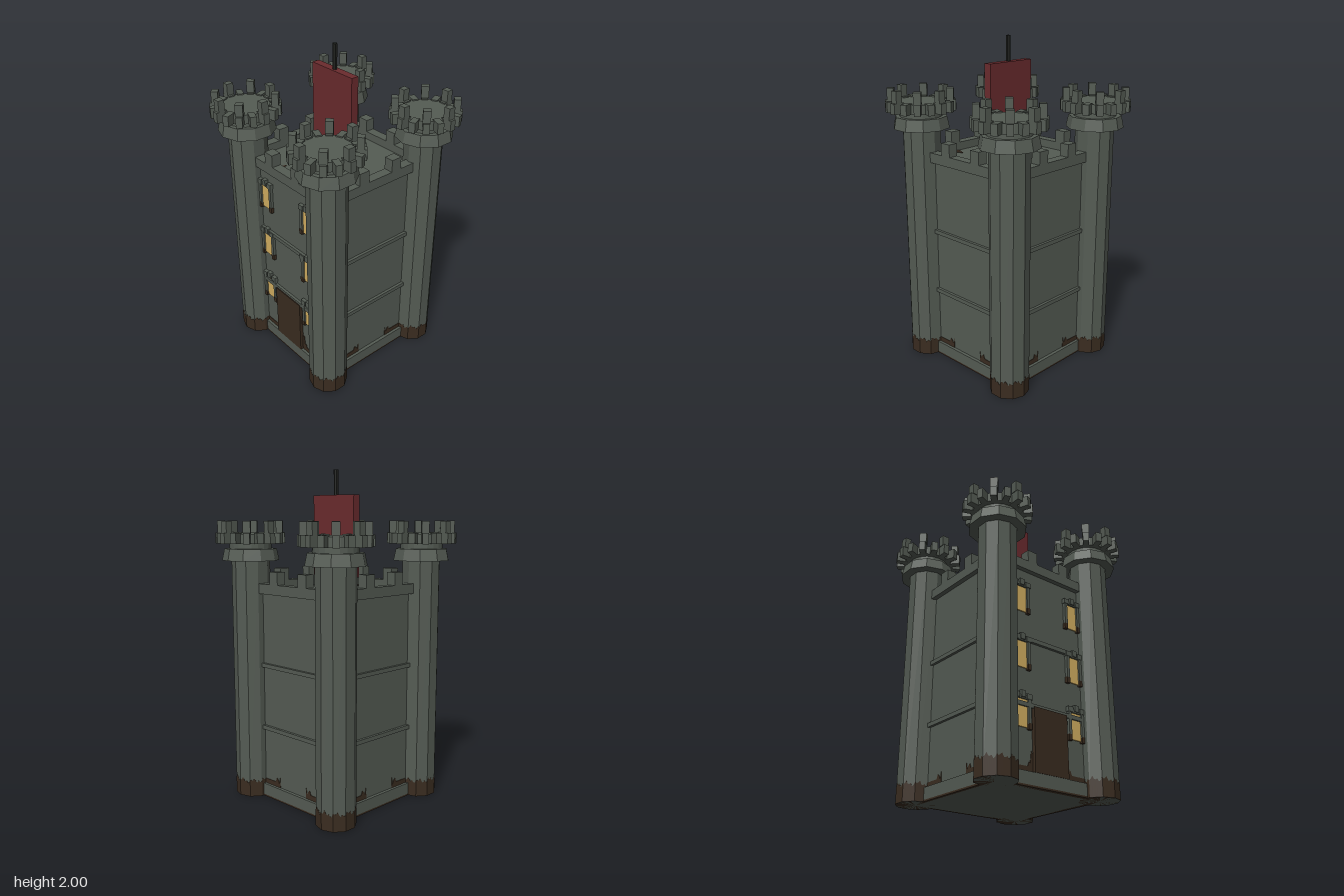
import * as THREE from 'three';

const mat = (name, color) => {
  const m = new THREE.MeshStandardMaterial({ color });
  m.name = name;
  return m;
};

export function createModel() {
  const stone = mat('stone', 0x555c54);
  const mud = mat('mud brown', 0x3a2c20);
  const glow = mat('window yellow', 0xd4b062);
  const red = mat('banner red', 0x6b2b2e);
  const iron = mat('dark iron', 0x1e201d);
  for (const m of [stone, mud, glow, red, iron]) m.flatShading = true;

  const keep = new THREE.Group();
  keep.name = 'keep';

  const add = (parent, name, geo, material, x = 0, y = 0, z = 0) => {
    const mesh = new THREE.Mesh(geo, material);
    mesh.name = name;
    mesh.position.set(x, y, z);
    parent.add(mesh);
    return mesh;
  };
  // box given by its size, centre x, bottom y and centre z
  const box = (parent, name, material, w, h, d, x, y, z) =>
    add(parent, name, new THREE.BoxGeometry(w, h, d), material, x, y + h / 2, z);
  const group = (name, parent = keep) => {
    const g = new THREE.Group();
    g.name = name;
    parent.add(g);
    return g;
  };
  // thin plate from a few outline points
  const plate = (parent, name, material, pts, z) => {
    const shape = new THREE.Shape(pts.map(p => new THREE.Vector2(p[0], p[1])));
    const geo = new THREE.ExtrudeGeometry(shape, { depth: 0.004, bevelEnabled: false });
    return add(parent, name, geo, material, 0, 0, z);
  };

  // main block
  box(keep, 'mainBlock', stone, 0.73, 1.28, 0.73, 0, 0, 0);

  // four wall sides: plinth, string courses, parapet, merlons and mud
  for (let i = 0; i < 4; i++) {
    const wall = group('wallTrim');
    wall.rotation.y = i * Math.PI / 2;
    box(wall, 'plinth', stone, 0.56, 0.07, 0.03, 0, 0.01, 0.37);
    box(wall, 'plinthMud', mud, 0.56, 0.01, 0.03, 0, 0, 0.37);
    for (const y of [0.43, 0.82]) box(wall, 'stringCourse', stone, 0.56, 0.025, 0.03, 0, y, 0.367);
    box(wall, 'parapet', stone, 0.6, 0.06, 0.06, 0, 1.27, 0.365);
    for (const s of [-1, 1]) {
      box(wall, 'wallMerlon', stone, 0.07, 0.075, 0.06, s * 0.122, 1.33, 0.365);
      const peak = i === 0 ? 0.22 : 0.145;
      const pts = [[-0.26, 0.075], [-0.115, 0.075], [-0.117, peak], [-0.125, peak - 0.04],
        [-0.132, peak - 0.025], [-0.14, 0.13], [-0.148, 0.135], [-0.158, 0.11], [-0.26, 0.108]];
      plate(wall, 'mudSplash', mud, pts.map(([x, y]) => [x * -s, y]), 0.364);
    }
  }

  // mud marks on the roof
  for (const s of [-1, 1]) {
    const pts = [[-0.21, -0.335], [-0.11, -0.335], [-0.108, -0.305], [-0.122, -0.285],
      [-0.13, -0.262], [-0.14, -0.28], [-0.155, -0.295], [-0.165, -0.31]];
    const mark = plate(keep, 'roofMud', mud, pts.map(([x, y]) => [x * -s, y]), 0);
    mark.rotation.x = -Math.PI / 2;
    mark.position.y = 1.279;
  }

  // round towers
  const SIDES = 10, R = 0.116;
  const mudBand = new THREE.CylinderGeometry(R, R, 0.1, 80, 1);
  const p = mudBand.attributes.position;
  const step = 2 * Math.PI / SIDES;
  for (let i = 0; i < p.count; i++) {
    const x = p.getX(i), z = p.getZ(i);
    if (Math.hypot(x, z) < 0.01) continue;
    // follow the flat tower sides, with a ragged top edge
    const a = (Math.atan2(x, z) + 2 * Math.PI) % (2 * Math.PI);
    const local = (a + 1e-6) % step - step / 2;
    const r = 1.012 * R * Math.cos(step / 2) / Math.cos(local);
    p.setX(i, Math.sin(a) * r);
    p.setZ(i, Math.cos(a) * r);
    if (p.getY(i) > 0) p.setY(i, 0.05 + 0.009 * Math.sin(a * 10) + 0.009 * Math.sin(a * 27));
  }
  mudBand.computeVertexNormals();

  for (const sx of [-1, 1]) for (const sz of [-1, 1]) {
    const tower = group('tower');
    tower.position.set(sx * 0.365, 0, sz * 0.365);
    add(tower, 'towerShaft', new THREE.CylinderGeometry(R, R, 1.47, SIDES), stone, 0, 0.735, 0);
    add(tower, 'towerMud', mudBand, mud, 0, 0.05, 0);
    add(tower, 'towerCollar', new THREE.CylinderGeometry(0.157, 0.172, 0.07, SIDES), stone, 0, 1.5, 0);
    add(tower, 'towerNeck', new THREE.CylinderGeometry(0.127, 0.127, 0.035, 20), stone, 0, 1.5525, 0);
    add(tower, 'towerPlatform', new THREE.CylinderGeometry(0.157, 0.157, 0.055, 20), stone, 0, 1.5955, 0);
    // ring of blocks, every second one carrying a merlon
    for (let i = 0; i < 16; i++) {
      const spoke = group('crownBlock', tower);
      spoke.rotation.y = i * Math.PI / 8;
      box(spoke, 'crownLower', stone, 0.038, 0.063, 0.07, 0, 1.567, 0.173);
      if (i % 2 === 0) box(spoke, 'crownMerlon', stone, 0.045, 0.07, 0.04, 0, 1.63, 0.175);
    }
  }

  // door
  box(keep, 'door', mud, 0.24, 0.36, 0.03, -0.002, 0.08, 0.373);

  // front windows
  for (const s of [-1, 1]) for (const y of [0.315, 0.655, 1.0]) {
    const win = group('window');
    win.position.set(s * 0.197, y, 0);
    box(win, 'windowGlass', glow, 0.075, 0.155, 0.009, 0, 0, 0.368);
    for (const t of [-1, 1]) {
      box(win, 'windowJamb', stone, 0.02, 0.14, 0.022, t * 0.048, 0.02, 0.372);
      box(win, 'jambFoot', mud, 0.024, 0.035, 0.024, t * 0.05, -0.01, 0.372);
      box(win, 'lintelBlock', stone, 0.036, 0.03, 0.026, t * 0.045, 0.157, 0.374);
    }
    box(win, 'windowLintel', stone, 0.08, 0.02, 0.02, 0, 0.155, 0.372);
    box(win, 'keystone', stone, 0.03, 0.038, 0.028, 0, 0.162, 0.375);
  }

  // banner and pole
  box(keep, 'banner', red, 0.338, 0.485, 0.048, 0, 1.367, 0);
  add(keep, 'bannerPole', new THREE.CylinderGeometry(0.014, 0.014, 0.6, 6), iron, 0, 1.7, 0);

  return keep;
}
